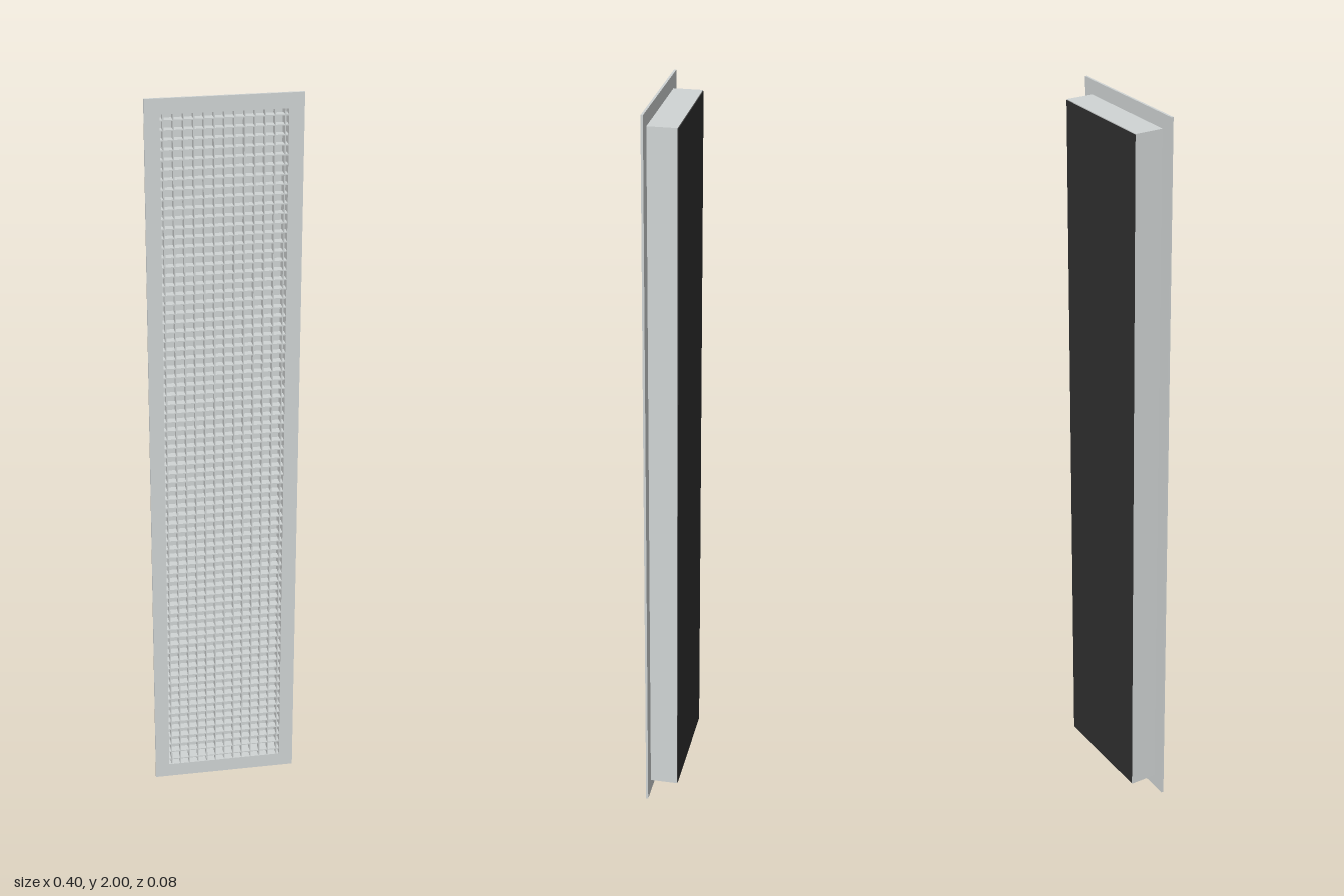
import * as THREE from 'three';

const grey = new THREE.MeshStandardMaterial({ color: 0xd0d4d4 });
grey.name = 'light grey metal';
const black = new THREE.MeshStandardMaterial({ color: 0x303030 });
black.name = 'black backing';

const WIDTH = 0.4, HEIGHT = 2, MID = HEIGHT / 2;
const INNER_W = 0.326, INNER_H = 1.924; // duct outside size

// Rectangular ring extruded along z
function ring(name, w, h, holeW, holeH, z0, z1) {
  const rect = (T, a, b) => new T([
    new THREE.Vector2(-a / 2, -b / 2), new THREE.Vector2(a / 2, -b / 2),
    new THREE.Vector2(a / 2, b / 2), new THREE.Vector2(-a / 2, b / 2),
  ]);
  const shape = rect(THREE.Shape, w, h);
  shape.holes.push(rect(THREE.Path, holeW, holeH));
  const mesh = new THREE.Mesh(
    new THREE.ExtrudeGeometry(shape, { depth: z1 - z0, bevelEnabled: false }), grey);
  mesh.name = name;
  mesh.position.set(0, MID, z0);
  return mesh;
}

function box(name, w, h, d, x, y, z, material) {
  const mesh = new THREE.Mesh(new THREE.BoxGeometry(w, h, d), material);
  mesh.name = name;
  mesh.position.set(x, y, z);
  return mesh;
}

export function createModel() {
  const model = new THREE.Group();
  model.name = 'ventGrille';

  // Front flange and the duct collar behind it
  model.add(ring('frontFrame', WIDTH, HEIGHT, INNER_W - 0.004, INNER_H - 0.004, 0.036, 0.042));
  model.add(ring('ductCollar', INNER_W, INNER_H, INNER_W - 0.004, INNER_H - 0.004, -0.04, 0.036));

  // Grey floor of the duct with a black plate on its back
  model.add(box('ductFloor', INNER_W - 0.004, INNER_H - 0.004, 0.002, 0, MID, -0.039, grey));
  model.add(box('backPlate', INNER_W - 0.004, INNER_H - 0.004, 0.002, 0, MID, -0.041, black));

  // Egg-crate core of crossing blades
  const core = new THREE.Group();
  core.name = 'eggCrateCore';
  const pitch = 0.0255, thick = 0.003, depth = 0.023, z = 0.029;
  const columns = 13, rows = 75;
  for (let i = 0; i < columns; i++) {
    const x = (i - (columns - 1) / 2) * pitch;
    core.add(box('verticalBlade', thick, INNER_H - 0.004, depth, x, MID, z, grey));
  }
  for (let i = 0; i < rows; i++) {
    const y = MID + (i - (rows - 1) / 2) * pitch;
    core.add(box('horizontalBlade', INNER_W - 0.004, thick, depth - 0.0004, 0, y, z, grey));
  }
  model.add(core);
  return model;
}
